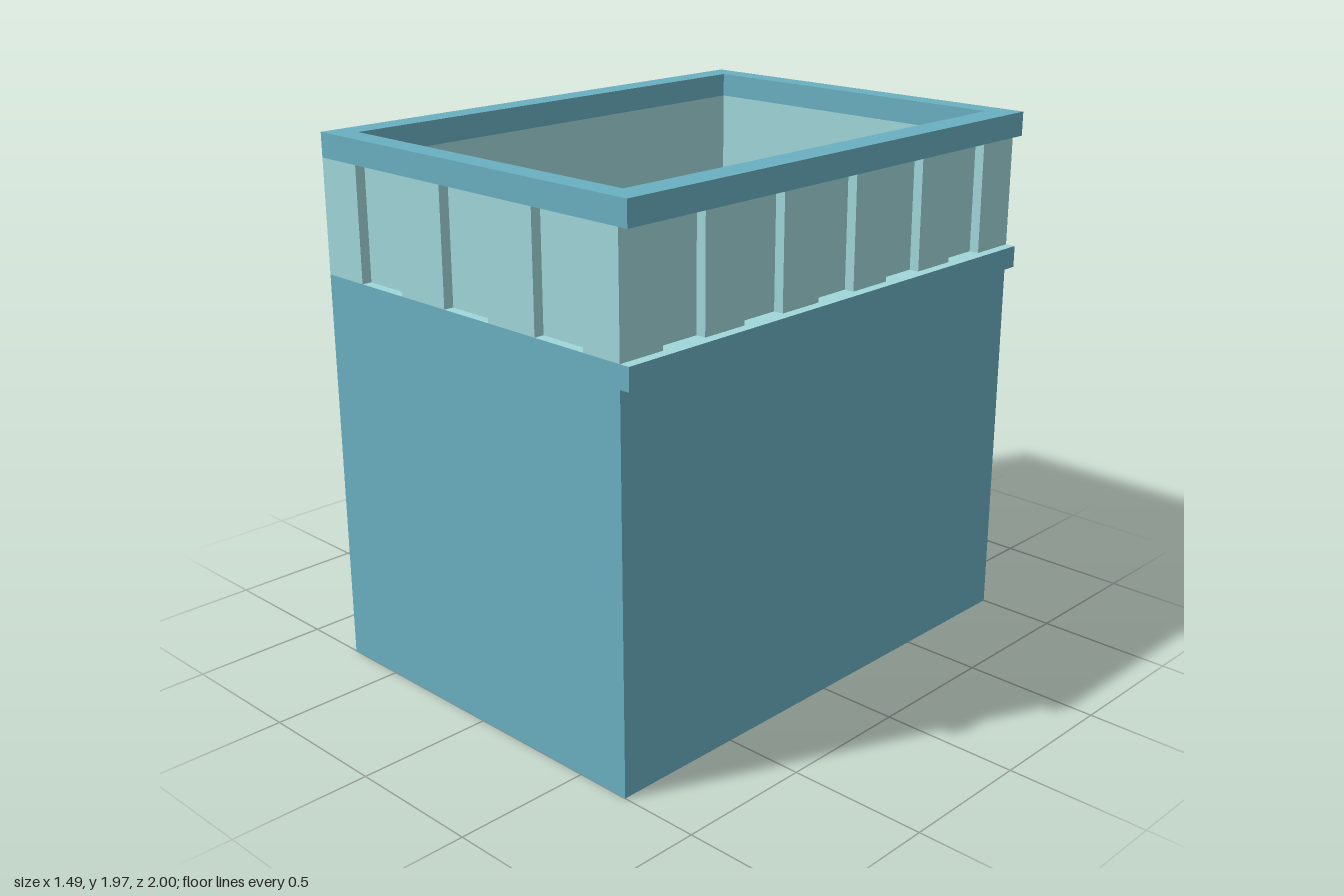
import * as THREE from 'three';

const WALL = 0x6ab0c1, PALE = 0x9fd6da;
const LEFT = -0.745, RIGHT = 0.707, LEDGE = 0.745, DEPTH = 1;
const RECESS = 0.037;
const LEDGE_Y = 1.385, FLOOR_Y = 1.465, COPING_Y = 1.877, TOP_Y = 1.965;

const paint = (color) => new THREE.MeshStandardMaterial({ color });
const rect = (x0, x1, d) => [[x0, -d], [x1, -d], [x1, d], [x0, d]].map(([x, y]) => new THREE.Vector2(x, y));

// Plan outline with an opening, raised from y0 to y1
function ring(name, outline, hole, y0, y1, color) {
  const shape = new THREE.Shape(outline);
  shape.holes.push(new THREE.Path(hole));
  const geometry = new THREE.ExtrudeGeometry(shape, { depth: y1 - y0, bevelEnabled: false });
  geometry.rotateX(-Math.PI / 2).translate(0, y0, 0);
  const mesh = new THREE.Mesh(geometry, paint(color));
  mesh.name = name;
  return mesh;
}

// Walk around a rectangle, cutting shallow recesses into every side
function recessedOutline() {
  const corners = rect(LEFT, RIGHT, DEPTH);
  const ends = { centers: [-0.447, -0.002, 0.44], width: 0.22 };
  const sides = { centers: [-0.727, -0.363, 0, 0.363, 0.727], width: 0.184 };
  const points = [];
  corners.forEach((start, i) => {
    const along = corners[(i + 1) % 4].clone().sub(start).normalize();
    const inward = new THREE.Vector2(-along.y, along.x);
    const { centers, width } = i % 2 ? sides : ends;
    const axis = i % 2 ? 'y' : 'x';
    const distances = centers.map((c) => (c - start[axis]) * along[axis]).sort((a, b) => a - b);
    const at = (t, depth) => start.clone().addScaledVector(along, t).addScaledVector(inward, depth);
    points.push(start.clone());
    for (const t of distances) {
      const a = t - width / 2, b = t + width / 2;
      points.push(at(a, 0), at(a, RECESS), at(b, RECESS), at(b, 0));
    }
  });
  return points;
}

export function createModel() {
  const model = new THREE.Group();
  model.name = 'building';

  // Hollow body, open underneath
  model.add(ring('body', rect(LEFT, RIGHT, DEPTH), rect(-0.57, 0.525, 0.8), 0, LEDGE_Y, WALL));

  // Roof slab projecting as a ledge on one side, pale on top
  const slab = new THREE.Mesh(
    new THREE.BoxGeometry(LEDGE - LEFT, FLOOR_Y - LEDGE_Y, 2 * DEPTH),
    [WALL, WALL, PALE, WALL, WALL, WALL].map(paint),
  );
  slab.position.set((LEFT + LEDGE) / 2, (FLOOR_Y + LEDGE_Y) / 2, 0);
  slab.name = 'roofSlab';
  model.add(slab);

  // Parapet with recessed panels and the coping above it
  const opening = rect(-0.65, 0.64, 0.914);
  model.add(ring('parapet', recessedOutline(), opening, FLOOR_Y, COPING_Y, PALE));
  model.add(ring('coping', rect(LEFT, LEDGE, DEPTH), opening, COPING_Y, TOP_Y, WALL));

  return model;
}
